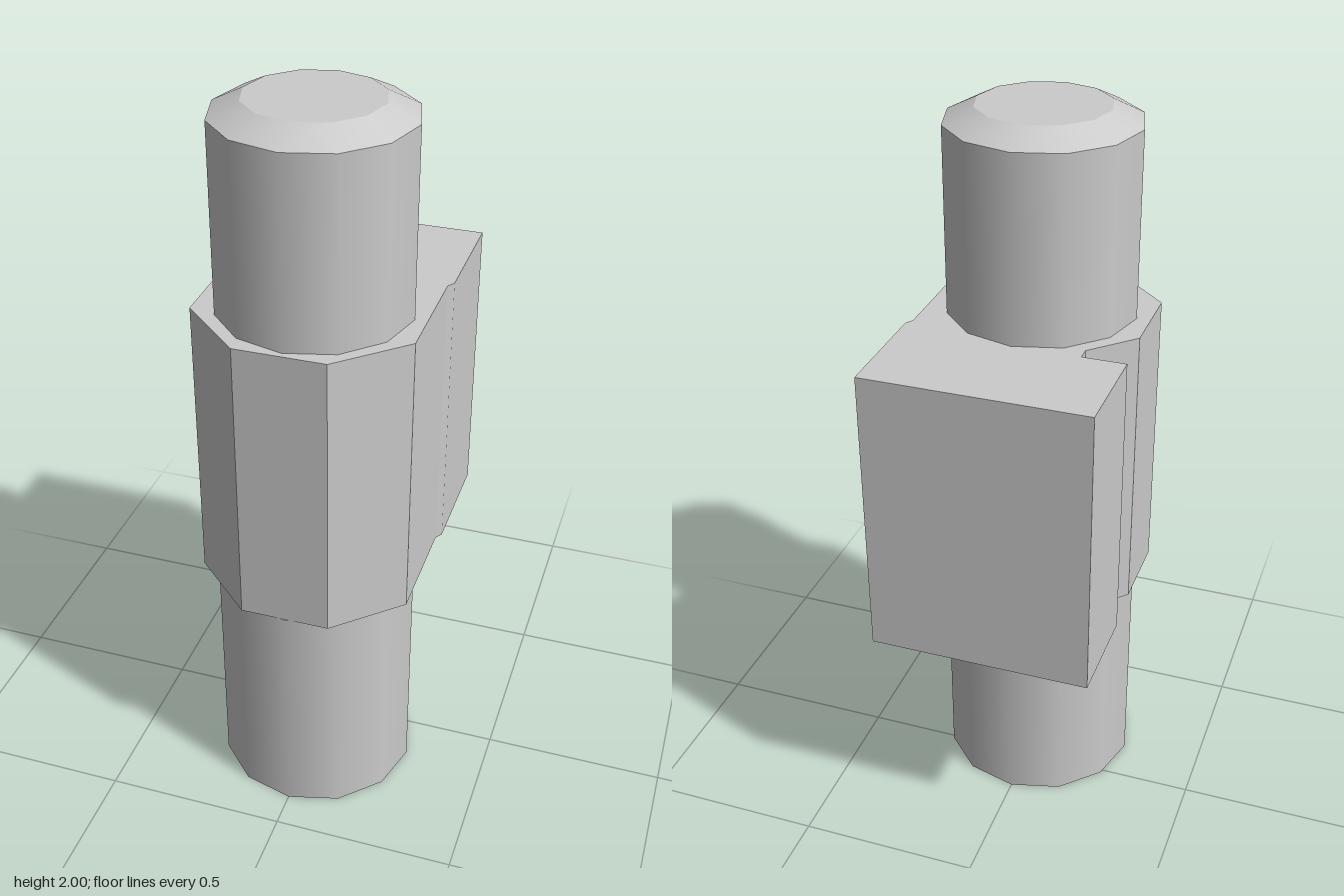
import * as THREE from 'three';

const AXIS_Z = 0.127; // centre line of the round parts
const SIDES = 12;

export function createModel() {
  const group = new THREE.Group();
  const material = new THREE.MeshStandardMaterial({ color: 0xcccccc });

  const add = (name, geometry) => {
    const mesh = new THREE.Mesh(geometry, material);
    mesh.name = name;
    group.add(mesh);
    return mesh;
  };

  // Round section between two heights
  const round = (name, rTop, rBottom, y0, y1) => {
    const mesh = add(name, new THREE.CylinderGeometry(rTop, rBottom, y1 - y0, SIDES));
    mesh.position.set(0, (y0 + y1) / 2, AXIS_Z);
  };

  round('lowerShaft', 0.275, 0.275, 0, 0.66);
  round('upperShaft', 0.255, 0.255, 1.46, 1.96);
  round('topChamfer', 0.175, 0.255, 1.96, 2);

  // Faceted collar with a rectangular back block and a notch on one side, outline in x, z
  const outline = [
    [-0.3, -0.403], [0.3, -0.403], [0.3, -0.09], [0.287, -0.07],
    [0.287, 0.24], [0.118, 0.398], [-0.122, 0.398], [-0.292, 0.24],
    [-0.292, 0.02], [-0.183, -0.09], [-0.183, -0.125], [-0.3, -0.125],
  ];
  const shape = new THREE.Shape(outline.map(([x, z]) => new THREE.Vector2(x, -z)));
  const collar = new THREE.ExtrudeGeometry(shape, { depth: 0.8, bevelEnabled: false });
  collar.rotateX(-Math.PI / 2);
  add('collarBlock', collar).position.y = 0.66;

  return group;
}
